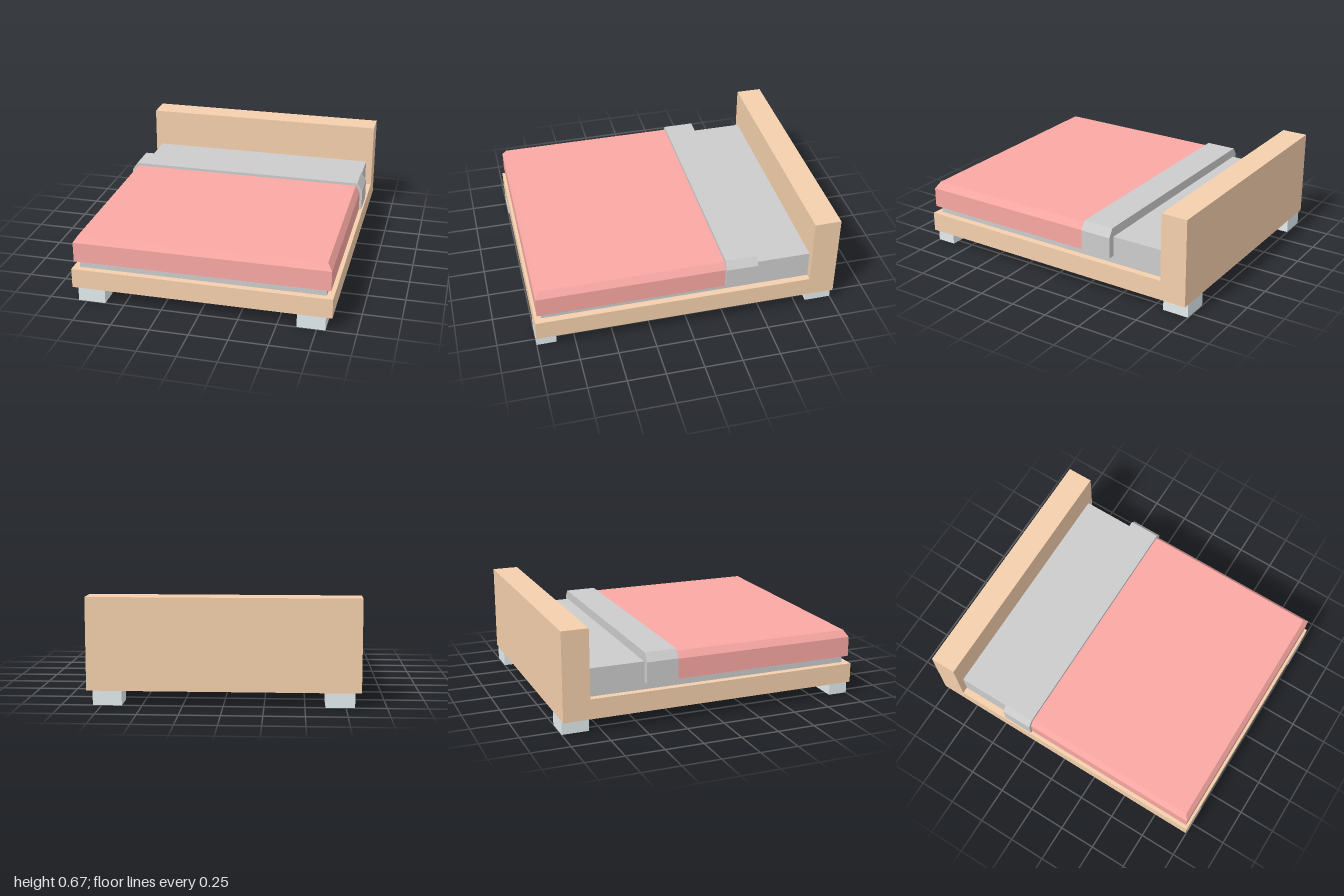
import * as THREE from 'three';

const material = (color) => new THREE.MeshStandardMaterial({ color, flatShading: true });

export function createModel() {
  const model = new THREE.Group();
  const wood = material(0xf4cfac);
  const grey = material(0xcccccc);
  const red = material(0xf9a8a3);
  const metal = material(0xe2ebed);

  function add(name, geometry, mat) {
    const mesh = new THREE.Mesh(geometry, mat);
    mesh.name = name;
    model.add(mesh);
    return mesh;
  }

  // Box given by its extents on each axis
  function box(name, mat, [x0, x1], [y0, y1], [z0, z1]) {
    const geometry = new THREE.BoxGeometry(x1 - x0, y1 - y0, z1 - z0);
    geometry.translate((x0 + x1) / 2, (y0 + y1) / 2, (z0 + z1) / 2);
    return add(name, geometry, mat);
  }

  // Base and headboard: one L-shaped side profile (z, y) swept across the width
  const side = new THREE.Shape([
    [-1, 0.09], [1, 0.09], [1, 0.22], [-0.825, 0.22], [-0.825, 0.67], [-1, 0.67],
  ].map(([z, y]) => new THREE.Vector2(-z, y)));
  const frame = new THREE.ExtrudeGeometry(side, { depth: 1.69, bevelEnabled: false });
  frame.translate(0, 0, -0.845).rotateY(Math.PI / 2);
  add('bedFrame', frame, wood);

  // Legs
  for (const s of [-1, 1]) {
    const x = s < 0 ? [-0.805, -0.625] : [0.625, 0.805];
    const label = s < 0 ? 'Right' : 'Left';
    box('front' + label + 'Leg', metal, x, [0, 0.09], [0.87, 1]);
    box('back' + label + 'Leg', metal, x, [0, 0.09], [-1, -0.825]);
  }

  box('mattress', grey, [-0.8, 0.8], [0.22, 0.402], [-0.825, 0.957]);

  // Blanket: top edges chamfered on the sides and the foot end
  const blanket = new THREE.BoxGeometry(1.66, 2, 1.23, 1, 2, 1);
  blanket.translate(0, 0, 0.37);
  const p = blanket.attributes.position;
  const heights = [0.27, 0.402, 0.446];
  for (let i = 0; i < p.count; i++) {
    const level = Math.round(p.getY(i)) + 1;
    p.setY(i, heights[level]);
    if (level === 2) {
      p.setX(i, Math.sign(p.getX(i)) * 0.8);
      if (p.getZ(i) > 0) p.setZ(i, 0.957);
    }
  }
  blanket.computeVertexNormals();
  add('blanket', blanket, red);

  // Turned-back sheet: band with chamfered shoulders
  const band = new THREE.Shape([
    [-0.847, 0.27], [0.847, 0.27], [0.847, 0.41], [0.81, 0.464], [-0.81, 0.464], [-0.847, 0.41],
  ].map(([x, y]) => new THREE.Vector2(x, y)));
  const fold = new THREE.ExtrudeGeometry(band, { depth: 0.21, bevelEnabled: false });
  fold.translate(0, 0, -0.457);
  add('foldedSheet', fold, grey);

  return model;
}
